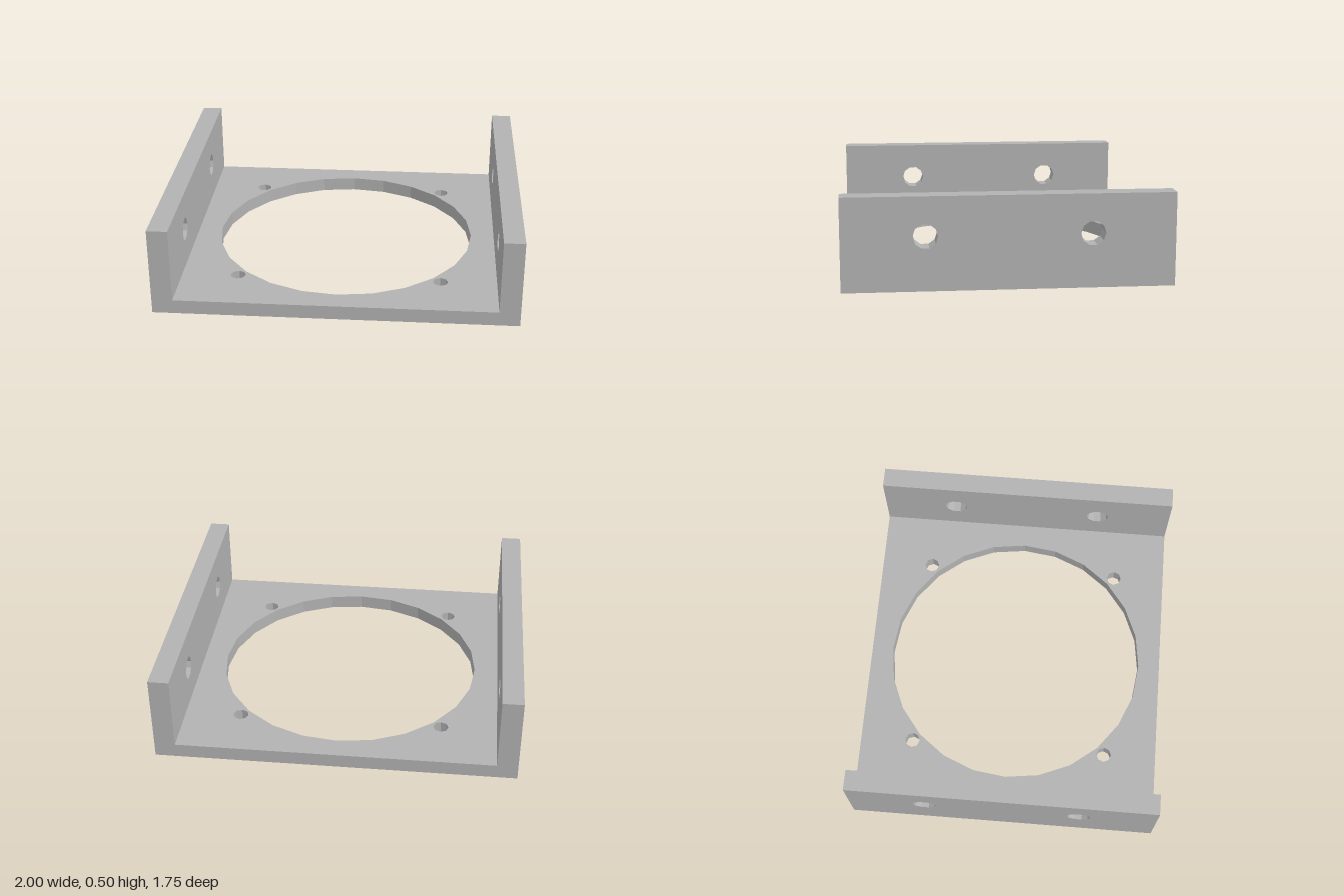
import * as THREE from 'three';

const WIDTH = 2, DEPTH = 1.75, HEIGHT = 0.5;
const PLATE = 0.08, WALL = 0.115;

// Faceted round hole
function hole(x, y, radius, sides) {
  const points = [];
  for (let i = 0; i < sides; i++) {
    const a = (i / sides) * Math.PI * 2;
    points.push(new THREE.Vector2(x + radius * Math.cos(a), y + radius * Math.sin(a)));
  }
  return new THREE.Path(points);
}

// Flat rectangular panel with holes, extruded along z
function panel(x0, y0, x1, y1, thickness, holes) {
  const shape = new THREE.Shape([
    new THREE.Vector2(x0, y0), new THREE.Vector2(x1, y0),
    new THREE.Vector2(x1, y1), new THREE.Vector2(x0, y1),
  ]);
  shape.holes.push(...holes);
  return new THREE.ExtrudeGeometry(shape, { depth: thickness, bevelEnabled: false });
}

export function createModel() {
  const group = new THREE.Group();
  group.name = 'mountingBracket';
  const grey = new THREE.MeshStandardMaterial({ color: 0xb2b2b2 });
  grey.name = 'grey';

  // Base plate with the large opening and four screw holes
  const baseHoles = [hole(0, 0, 0.75, 24)];
  for (const sx of [-1, 1]) {
    for (const sz of [-1, 1]) baseHoles.push(hole(sx * 0.57, sz * 0.57, 0.043, 8));
  }
  const inner = WIDTH / 2 - WALL;
  const baseGeometry = panel(-inner, -DEPTH / 2, inner, DEPTH / 2, PLATE, baseHoles);
  baseGeometry.rotateX(-Math.PI / 2);
  const base = new THREE.Mesh(baseGeometry, grey);
  base.name = 'basePlate';
  group.add(base);

  // Side walls, each with two mounting holes
  const wallHoles = [-1, 1].map((s) => hole(s * 0.4375, 0.29, 0.066, 10));
  const wallGeometry = panel(-DEPTH / 2, 0, DEPTH / 2, HEIGHT, WALL, wallHoles);
  wallGeometry.rotateY(Math.PI / 2);
  for (const [name, x] of [['leftWall', inner], ['rightWall', -WIDTH / 2]]) {
    const wall = new THREE.Mesh(wallGeometry, grey);
    wall.name = name;
    wall.position.x = x;
    group.add(wall);
  }

  return group;
}
